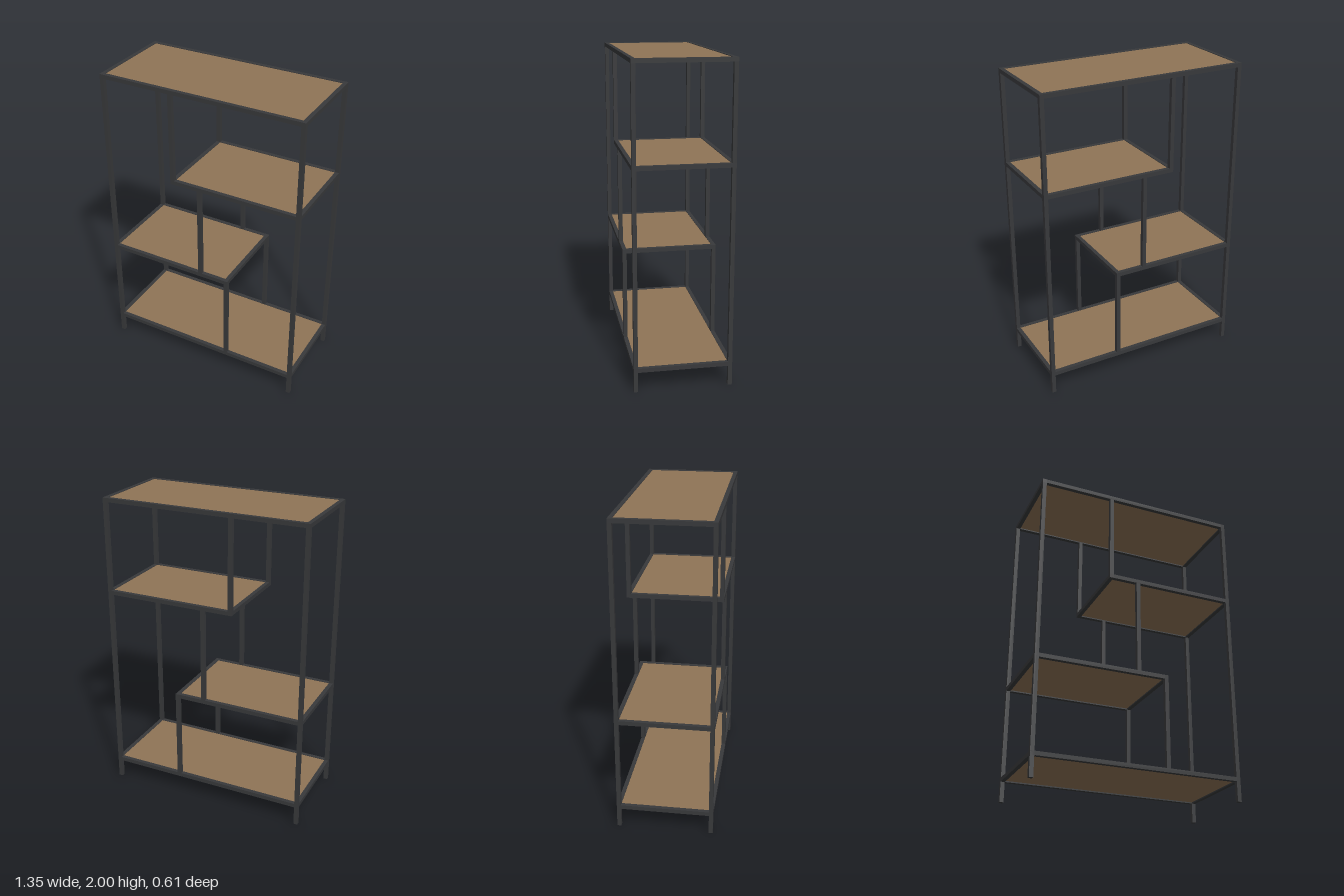
import * as THREE from 'three';

export function createModel() {
  const model = new THREE.Group();
  model.name = 'shelvingUnit';

  const steel = new THREE.MeshStandardMaterial({ color: 0x38393b });
  steel.name = 'dark steel';
  const wood = new THREE.MeshStandardMaterial({ color: 0x8f7456 });
  wood.name = 'brown wood';

  const T = 0.026;            // square tube width
  const X = 0.675, Z = 0.305; // outer half width and half depth

  // Box given by its lower and upper corners
  function box(parent, name, material, x0, x1, y0, y1, z0, z1) {
    const mesh = new THREE.Mesh(new THREE.BoxGeometry(x1 - x0, y1 - y0, z1 - z0), material);
    mesh.position.set((x0 + x1) / 2, (y0 + y1) / 2, (z0 + z1) / 2);
    mesh.name = name;
    parent.add(mesh);
  }

  // Matching front and back uprights
  function uprights(name, x, y0, y1) {
    for (const [side, z] of [['Front', Z - T], ['Back', -Z]]) {
      box(model, name + side, steel, x - T / 2, x + T / 2, y0, y1, z, z + T);
    }
  }

  // Tube frame holding a board just below its top edge
  function shelf(name, x0, x1, top) {
    const group = new THREE.Group();
    group.name = name;
    const y0 = top - T;
    box(group, 'frontRail', steel, x0 + T, x1 - T, y0, top, Z - T, Z);
    box(group, 'backRail', steel, x0 + T, x1 - T, y0, top, -Z, -Z + T);
    box(group, 'rightRail', steel, x0, x0 + T, y0, top, -Z, Z);
    box(group, 'leftRail', steel, x1 - T, x1, y0, top, -Z, Z);
    box(group, 'board', wood, x0 + T, x1 - T, top - 0.018, top - 0.003, -Z + T, Z - T);
    model.add(group);
  }

  // Shelves from bottom to top; the two middle ones are staggered
  shelf('bottomShelf', -X, X, 0.153);
  shelf('lowerShelf', -X, 0.2, 0.755);
  shelf('upperShelf', -0.2, X, 1.397);
  shelf('topShelf', -X, X, 2);

  // Corner legs
  uprights('rightLeg', -X + T / 2, 0, 2 - T);
  uprights('leftLeg', X - T / 2, 0, 2 - T);

  // Short posts between the shelves
  uprights('lowerPost', 0.2 - T / 2, 0.153, 0.755 - T);
  uprights('middlePost', 0, 0.755, 1.397 - T);
  uprights('upperPost', -0.2 + T / 2, 1.397, 2 - T);

  return model;
}
